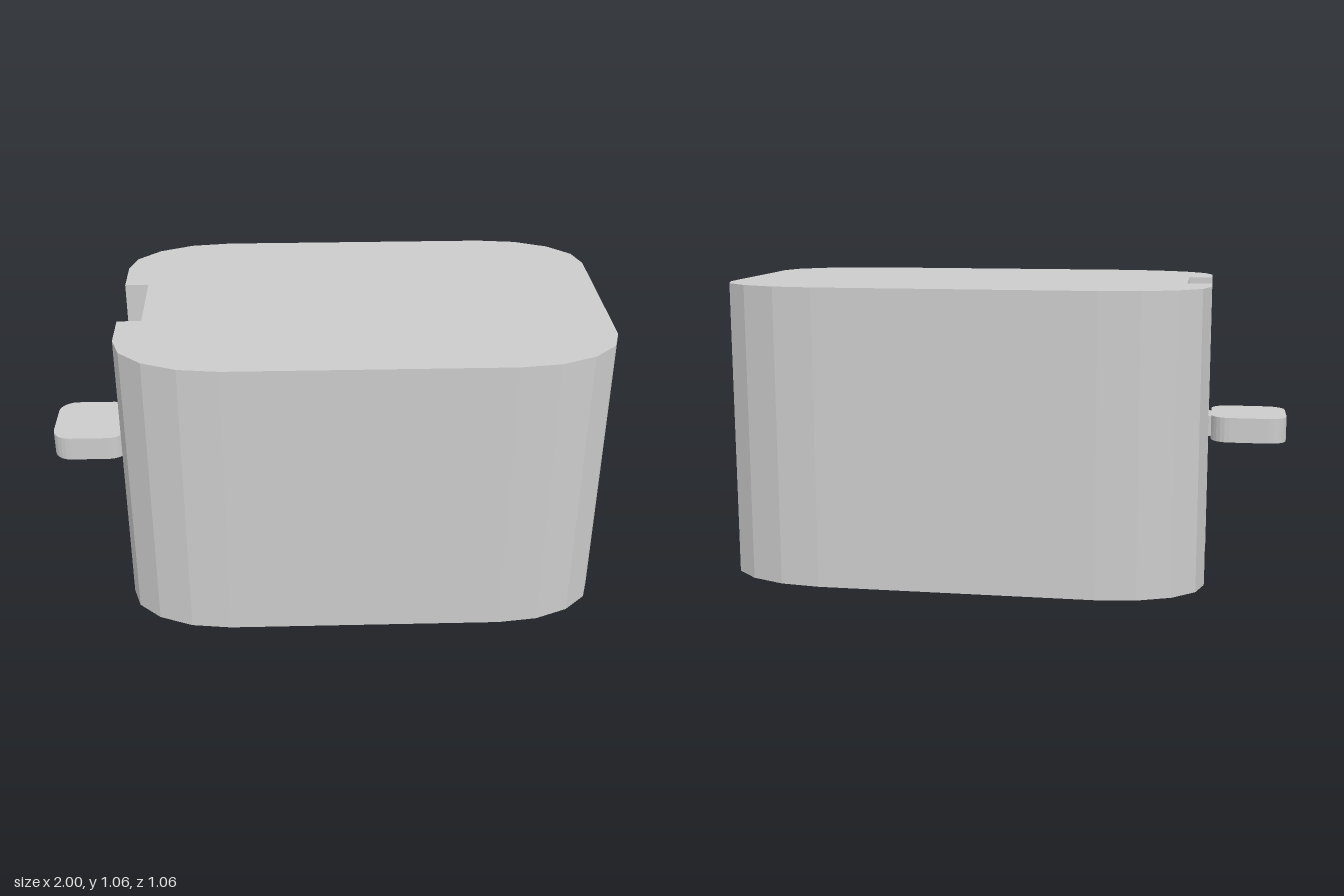
import * as THREE from 'three';

const material = new THREE.MeshStandardMaterial({ color: 0xcccccc, flatShading: true });

// Outline of a rectangle with elliptical corners; ends on the -x side, ready for a notch.
function roundedOutline(x0, x1, halfDepth, rx, rz, steps) {
  const points = [];
  const corners = [[x0 + rx, -1, Math.PI], [x1 - rx, -1, 1.5 * Math.PI], [x1 - rx, 1, 0], [x0 + rx, 1, 0.5 * Math.PI]];
  for (const [cx, side, start] of corners) {
    for (let i = 0; i <= steps; i++) {
      const a = start + (i / steps) * Math.PI / 2;
      points.push(new THREE.Vector2(cx + rx * Math.cos(a), side * (halfDepth - rz) + rz * Math.sin(a)));
    }
  }
  return points;
}

// Upright prism standing on height y
function prism(name, points, y, height) {
  const geometry = new THREE.ExtrudeGeometry(new THREE.Shape(points), { depth: height, bevelEnabled: false });
  geometry.rotateX(-Math.PI / 2).translate(0, y, 0);
  const mesh = new THREE.Mesh(geometry, material);
  mesh.name = name;
  return mesh;
}

export function createModel() {
  const group = new THREE.Group();
  group.name = 'toaster';

  // Body with a full-height lever slot in its right end
  const outline = roundedOutline(-0.72, 1, 0.53, 0.37, 0.23, 4);
  for (const [x, z] of [[-0.72, 0.15], [-0.635, 0.15], [-0.635, -0.15], [-0.72, -0.15]]) {
    outline.push(new THREE.Vector2(x, z));
  }
  group.add(prism('body', outline, 0, 1.06));

  // Lever: rounded handle on a short stem
  group.add(prism('leverHandle', roundedOutline(-1, -0.73, 0.135, 0.065, 0.065, 6), 0.487, 0.09));
  const stem = new THREE.Mesh(new THREE.BoxGeometry(0.12, 0.075, 0.12), material);
  stem.name = 'leverStem';
  stem.position.set(-0.685, 0.532, 0);
  group.add(stem);

  return group;
}
